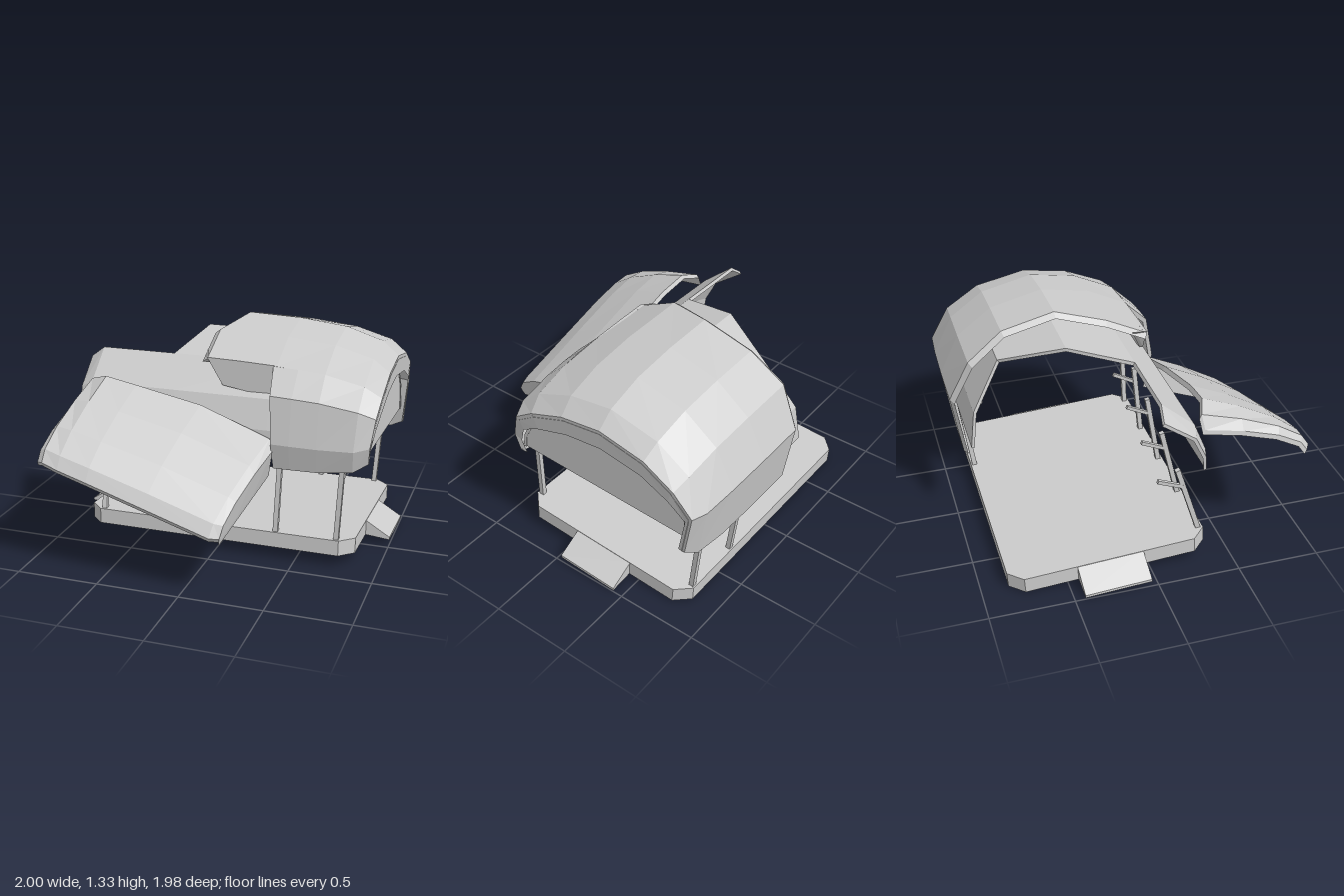
import * as THREE from 'three';

const mat = new THREE.MeshStandardMaterial({ color: 0xcccccc, flatShading: true, side: THREE.DoubleSide });

function add(parent, geometry, name) {
  const m = new THREE.Mesh(geometry, mat);
  m.name = name;
  parent.add(m);
  return m;
}

// Thick sheet: a grid of points, its offset copy and a rim joining their borders
function sheet(grid, offset) {
  const R = grid.length, C = grid[0].length, pos = [], idx = [];
  grid.forEach((row, r) => row.forEach((p) => pos.push(...p)));
  grid.forEach((row, r) => row.forEach((p, c) => pos.push(...offset(p, r, c))));
  const n = R * C;
  const quad = (a, b, c, d) => idx.push(a, b, c, a, c, d);
  for (let r = 0; r < R - 1; r++) for (let c = 0; c < C - 1; c++) {
    const a = r * C + c;
    quad(a, a + 1, a + C + 1, a + C);
    quad(n + a, n + a + C, n + a + C + 1, n + a + 1);
  }
  const rim = (a, b) => quad(b, a, n + a, n + b);
  for (let c = 0; c < C - 1; c++) {
    rim(c, c + 1);
    rim((R - 1) * C + c + 1, (R - 1) * C + c);
  }
  for (let r = 0; r < R - 1; r++) {
    rim((r + 1) * C, r * C);
    rim(r * C + C - 1, (r + 1) * C + C - 1);
  }
  const g = new THREE.BufferGeometry();
  g.setAttribute('position', new THREE.Float32BufferAttribute(pos, 3));
  g.setIndex(idx);
  const flat = g.toNonIndexed();
  flat.computeVertexNormals();
  return flat;
}

const MID_Z = -0.31, MID_Y = 0.62;
// Moves a sheet point towards the axis of the arch
const inward = (k, edgeShift = 0) => ([x, y, z], r, c) =>
  [x - (c === 0 ? edgeShift : 0), y - (y - 0.5) * k, z - (z - MID_Z) * k];

// Arch sections at stations [x, height scale, width scale, lift of the lower edge, tuck of the lower end]
function archGrid(profile, left, stations) {
  return profile.map(([z, y], r) => stations.map(([x, sy, sz, lift, tuck], i) => {
    const low = Math.max(0, 1 - Math.max(0, y - MID_Y) / 0.5);
    return [
      i === 0 && left ? left[r] : x - tuck * low * Math.sign(x),
      y > MID_Y ? MID_Y + (y - MID_Y) * sy + lift * low : y + lift,
      MID_Z + (z - MID_Z) * sz,
    ];
  }));
}

function bar(parent, a, b, w, name) {
  const A = new THREE.Vector3(...a), B = new THREE.Vector3(...b);
  const m = add(parent, new THREE.BoxGeometry(w, A.distanceTo(B), w), name);
  m.position.copy(A).lerp(B, 0.5);
  m.quaternion.setFromUnitVectors(new THREE.Vector3(0, 1, 0), B.sub(A).normalize());
}

function octagon(Type, w, d, c) {
  const pts = [[w - c, -d], [w, c - d], [w, d - c], [w - c, d], [c - w, d], [-w, d - c], [-w, c - d], [c - w, -d]];
  return new Type(pts.map(([x, y]) => new THREE.Vector2(x, y)));
}

function makePlatform() {
  const g = new THREE.Group();
  g.name = 'platform';
  // Skirt, open underneath
  const ring = octagon(THREE.Shape, 0.85, 0.6, 0.085);
  ring.holes.push(octagon(THREE.Path, 0.84, 0.59, 0.081));
  const skirt = new THREE.ExtrudeGeometry(ring, { depth: 0.095, bevelEnabled: false }).rotateX(-Math.PI / 2);
  add(g, skirt, 'platformSkirt');
  const deck = new THREE.ExtrudeGeometry(octagon(THREE.Shape, 0.845, 0.595, 0.085), { depth: 0.015, bevelEnabled: false });
  add(g, deck.rotateX(-Math.PI / 2).translate(0, 0.08, 0), 'deck');
  // Boarding ramps at both ends
  for (const s of [1, -1]) {
    const shape = new THREE.Shape([[0.845, 0.0], [1, -0.015], [1, 0.002], [0.845, 0.095]].map(([x, y]) => new THREE.Vector2(x, y)));
    const ramp = add(g, new THREE.ExtrudeGeometry(shape, { depth: 0.4, bevelEnabled: false }).translate(0, 0, -0.2), 'ramp');
    if (s < 0) ramp.rotation.y = Math.PI;
  }
  g.position.set(0, 0.045, -0.24);
  g.rotation.x = -0.06;
  return g;
}

function makePosts() {
  const g = new THREE.Group();
  g.name = 'posts';
  // Front row, leaning back more and more towards -x
  for (let i = 0; i < 5; i++) {
    const x = (i - 2) * 0.3725, top = 0.175 + i * 0.034, xt = x * 1.03;
    bar(g, [x, 0.17, 0.325], [xt, 0.63 + i * 0.005, top], 0.03, 'frontPost');
    const z = 0.325 + (top - 0.325) * 0.78;
    bar(g, [xt, 0.51 + i * 0.01, z], [xt, 0.57 + i * 0.016, z - 0.15], 0.022, 'frontPostArm');
  }
  for (const x of [0.3725, 0.745]) {
    bar(g, [x, 0.1, -0.82], [x * 1.03, 0.58, -0.885], 0.03, 'rearPost');
    bar(g, [x * 1.02, 0.465, -0.865], [x * 1.02, 0.575, -0.745], 0.022, 'rearPostArm');
  }
  return g;
}

function makeOuterCanopy() {
  const g = new THREE.Group();
  g.name = 'outerCanopy';
  const profile = [
    [0.36, 0.59], [0.39, 0.75], [0.34, 1.03], [0.2, 1.17], [-0.05, 1.29], [-0.34, 1.34],
    [-0.66, 1.26], [-0.87, 1.1], [-0.99, 0.85], [-0.93, 0.47],
  ];
  const ends = [[0.62, 0.94, 0.99, 0, 0], [0.85, 0.84, 0.97, 0.02, 0.02], [0.95, 0.72, 0.92, 0.07, 0.035], [0.945, 0.57, 0.88, 0.07, 0.035]];
  const roof = archGrid(profile.slice(3), [-0.1, -0.1, 0, 0, -0.03, 0, 0],
    [[0, 1, 1, 0, 0], [0.33, 0.985, 1, 0, 0], ...ends]);
  add(g, sheet(roof, inward(0.035, 0.035)), 'outerRoof');
  const apron = archGrid(profile.slice(0, 4), [0.36, 0.35, 0.33, 0.31],
    [[0.34, 0.985, 1, 0, 0], [0.46, 0.97, 1, 0, 0], ...ends]);
  add(g, sheet(apron, inward(0.035)), 'outerFrontSide');
  // Broken flap hanging under the notch
  const flap = [
    [[-0.1, 1.18, 0.2], [0.1, 1.175, 0.2], [0.32, 1.165, 0.2]],
    [[-0.13, 1.2, 0.12], [0.0, 1.02, 0.21], [0.32, 0.97, 0.21]],
  ];
  add(g, sheet(flap, ([x, y, z]) => [x, y, z - 0.02]), 'notchFlap');
  return g;
}

function makeInnerCanopy() {
  const g = new THREE.Group();
  g.name = 'innerCanopy';
  const profile = [
    [0.32, 0.69], [0.31, 0.8], [0.24, 0.97], [0.04, 1.14],
    [-0.34, 1.24], [-0.71, 1.13], [-0.88, 0.85], [-0.91, 0.62],
  ];
  const end = [[0.6, 0.96, 1, 0, 0], [0.82, 0.88, 0.99, 0, 0], [0.89, 0.76, 0.97, 0, 0]];
  // Standing front side, full length
  const front = archGrid(profile.slice(0, 4), null,
    [[-0.93, 0.87, 0.97, 0.02, 0.04], [-0.84, 1, 1, 0, 0], [-0.3, 1, 1, 0, 0], [0.3, 1, 1, 0, 0], ...end]);
  add(g, sheet(front, inward(0.03)), 'innerFrontSide');
  // Torn roof and rear side
  const roof = archGrid(profile.slice(3), [-0.37, -0.27, -0.1, -0.18, -0.2],
    [[0, 1, 1, 0, 0], [0.3, 1, 1, 0, 0], ...end]);
  add(g, sheet(roof, inward(0.03)), 'innerRoof');
  // End wall
  const wall = new THREE.Shape(profile.map(([z, y]) =>
    new THREE.Vector2(-(MID_Z + (z - MID_Z) * 0.97), MID_Y + (y - MID_Y) * 0.76)));
  add(g, new THREE.ShapeGeometry(wall).rotateY(Math.PI / 2).translate(0.885, 0, 0), 'endWall');
  return g;
}

// Broken side panel leaning on the front of the platform
function makeFallenPanel() {
  const upper = [[-0.85, 0.93, 0.3], [-0.81, 1.01, 0.29], [-0.7, 1.045, 0.33], [-0.5, 1.01, 0.34], [-0.1, 0.92, 0.32], [0.33, 0.76, 0.33], [0.36, 0.7, 0.38], [0.33, 0.55, 0.34]];
  const lower = [[-0.87, 0.69, 0.93], [-0.83, 0.7, 0.955], [-0.73, 0.67, 0.97], [-0.55, 0.62, 0.98], [-0.2, 0.51, 0.985], [0.18, 0.39, 0.99], [0.235, 0.385, 0.97], [0.23, 0.36, 0.96]];
  const grid = [[0, 0], [0.33, 0.035], [0.66, 0.05], [0.9, 0.035], [1, 0]].map(([t, bulge]) =>
    upper.map((a, i) => {
      const b = lower[i], k = i === 7 ? 0 : bulge;
      return [a[0] + (b[0] - a[0]) * t, a[1] + (b[1] - a[1]) * t + k, a[2] + (b[2] - a[2]) * t + k * 0.6];
    }));
  return sheet(grid, ([x, y, z]) => [x - 0.005, y - 0.025, z - 0.015]);
}

export function createModel() {
  const model = new THREE.Group();
  model.name = 'wreckedCanopyStage';
  model.add(makePlatform(), makePosts(), makeOuterCanopy(), makeInnerCanopy());
  add(model, makeFallenPanel(), 'fallenPanel');
  return model;
}
